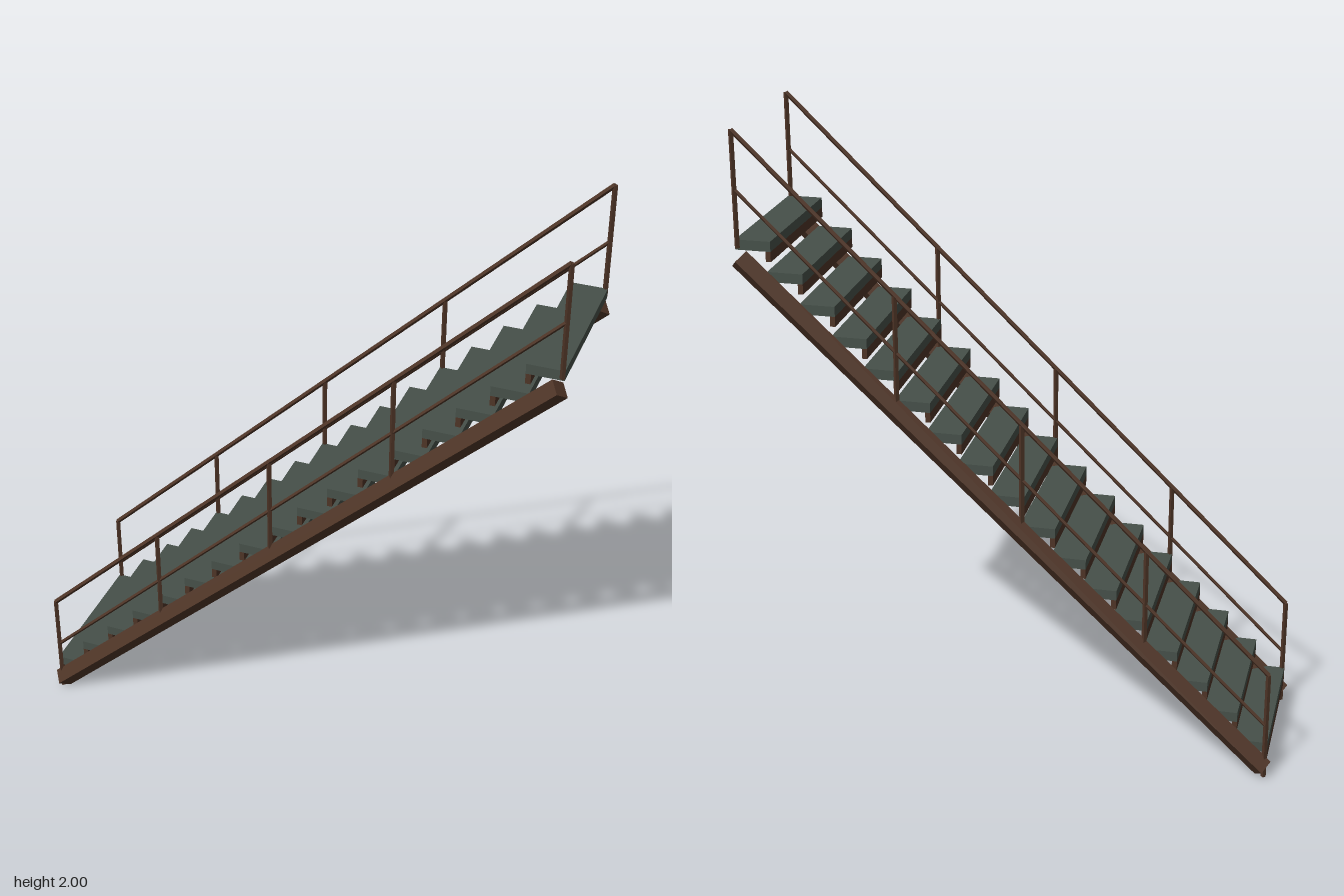
import * as THREE from 'three';

export function createModel() {
  const group = new THREE.Group();
  const brown = new THREE.MeshStandardMaterial({ color: 0x4e3426 });
  brown.name = 'rust brown steel';
  const green = new THREE.MeshStandardMaterial({ color: 0x465049 });
  green.name = 'grey green tread';

  const STEPS = 17, RUN = 0.098, RISE = 0.0957;
  const SIDE_Z = 0.245;

  // Faceted four-sided bar between two points in the plane z
  function bar(name, x1, y1, x2, y2, z, radius) {
    const dx = x2 - x1, dy = y2 - y1;
    const geo = new THREE.CylinderGeometry(radius, radius, Math.hypot(dx, dy), 4).toNonIndexed();
    geo.computeVertexNormals();
    const mesh = new THREE.Mesh(geo, brown);
    mesh.name = name;
    mesh.position.set((x1 + x2) / 2, (y1 + y2) / 2, z);
    mesh.rotation.z = Math.atan2(dy, dx) - Math.PI / 2;
    group.add(mesh);
  }

  // Box given by its minimum x, top y and size, spanning the stair width
  function board(name, material, x, top, depth, height) {
    const mesh = new THREE.Mesh(new THREE.BoxGeometry(depth, height, SIDE_Z * 2), material);
    mesh.name = name;
    mesh.position.set(x + depth / 2, top - height / 2, 0);
    group.add(mesh);
  }

  // Treads with a short brown lip under the leading edge
  for (let i = 0; i < STEPS; i++) {
    const x = -0.843 + i * RUN, top = 0.122 + i * RISE;
    board('tread', green, x, top, 0.112, 0.032);
    board('treadLip', brown, x, top - 0.032, 0.016, 0.032);
  }

  // Stringers, posts and rails on both sides
  const startX = -0.836, endX = startX + 17 * RUN;
  const postLength = 0.365, slope = RISE / RUN;
  const lineY = x => (x - startX) * slope;
  for (const z of [-SIDE_Z, SIDE_Z]) {
    bar('stringer', -0.833, 0.031, 0.826, 1.594, z, 0.035);
    for (const step of [0, 4, 8, 12, 17]) {
      const x = startX + step * RUN;
      bar('post', x, lineY(x), x, lineY(x) + postLength, z, 0.008);
    }
    bar('handrail', startX, postLength, endX, lineY(endX) + postLength, z, 0.008);
    bar('middleRail', startX, postLength / 2, endX, lineY(endX) + postLength / 2, z, 0.006);
  }
  return group;
}
